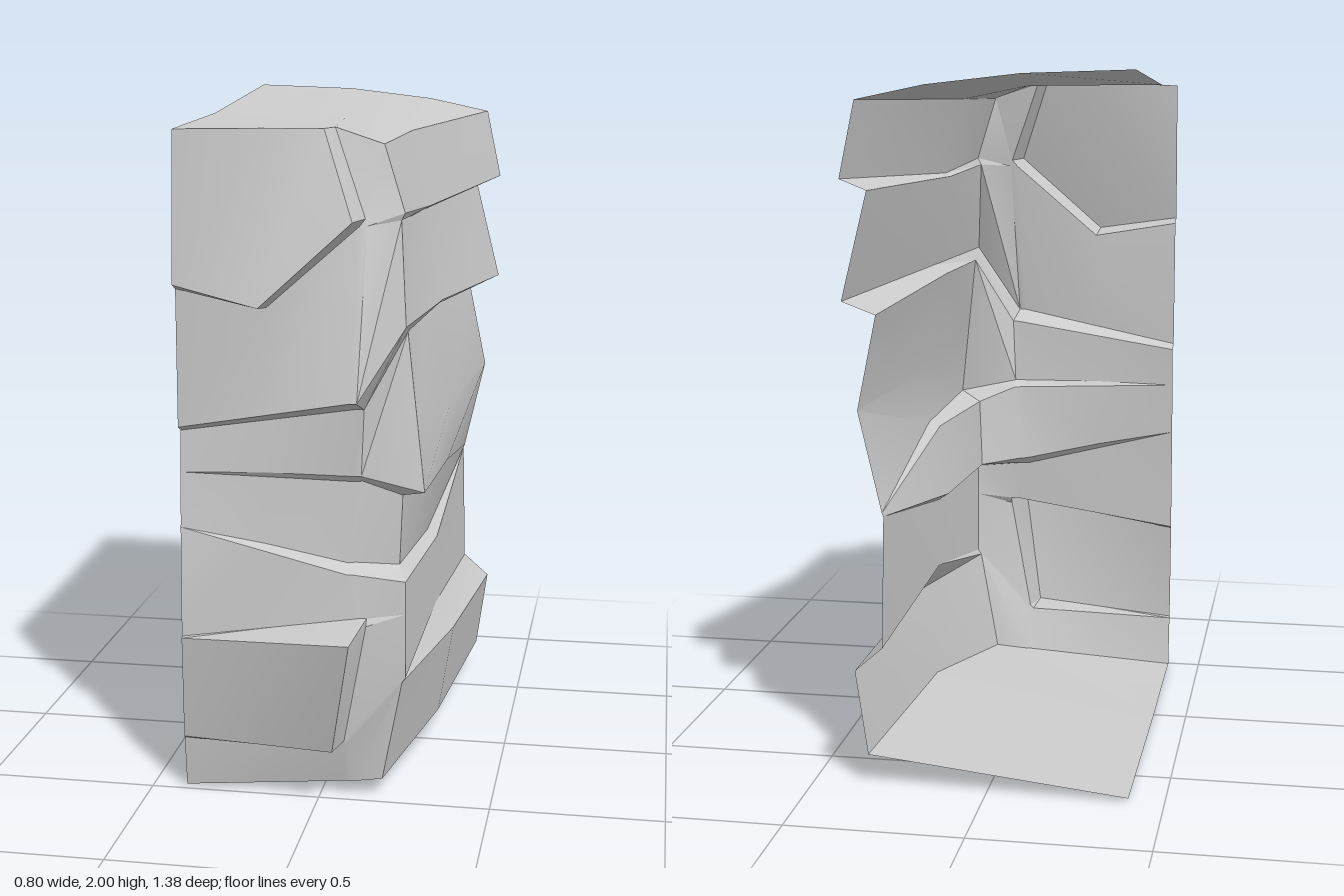
import * as THREE from 'three';
import { toCreasedNormals } from 'three/addons/utils/BufferGeometryUtils.js';

const material = new THREE.MeshStandardMaterial({ color: 0xcccccc, side: THREE.DoubleSide });

const mix = (a, b, t) => a.map((v, i) => v + (b[i] - v) * t);

// Adds n evenly spaced points to a line after index i
const subdivide = (line, i, n) => [
  ...line.slice(0, i + 1),
  ...Array.from({ length: n }, (_, k) => mix(line[i], line[i + 1], (k + 1) / (n + 1))),
  ...line.slice(i + 1),
];

// Joins two lines with triangles: row by row when the counts match,
// otherwise by advancing whichever one lags in x.
function stitch(out, a, b) {
  let i = 0, j = 0;
  const same = a.length === b.length;
  while (i < a.length - 1 || j < b.length - 1) {
    const stepA = j === b.length - 1 || (i < a.length - 1 &&
      (same ? i <= j : a[i + 1][0] <= b[j + 1][0]));
    if (stepA) {
      out.push(...a[i], ...a[i + 1], ...b[j]);
      i++;
    } else {
      out.push(...a[i], ...b[j + 1], ...b[j]);
      j++;
    }
  }
}

// A rock surface lofted through a row of lines
function sheet(name, lines) {
  const pos = [];
  for (let k = 0; k < lines.length - 1; k++) stitch(pos, lines[k], lines[k + 1]);
  const geo = new THREE.BufferGeometry();
  geo.setAttribute('position', new THREE.Float32BufferAttribute(pos, 3));
  const mesh = new THREE.Mesh(toCreasedNormals(geo, 0.42), material);
  mesh.name = name;
  return mesh;
}

export function createModel() {
  const group = new THREE.Group();
  group.name = 'cliffCorner';

  // Front profiles, top to bottom: slab, lip, overhang, ledge, wedge, foot
  const left = [[1.93, 0.508], [1.505, 0.54], [1.49, 0.505], [1.095, 0.505], [1.08, 0.475],
    [0.97, 0.485], [0.96, 0.486], [0.81, 0.495], [0.8, 0.497], [0.475, 0.508],
    [0.47, 0.512], [0.165, 0.503], [0.16, 0.498], [0.005, 0.48]]
    .map(([y, z]) => [-0.4, y, z]);
  const blockEdge = [[0.02, 1.935, 0.495], [0.11, 1.69, 0.57], [0.115, 1.67, 0.48],
    [0.1, 1.19, 0.555], [0.11, 1.16, 0.48], [0.1, 0.965, 0.475], [0.1, 0.945, 0.455],
    [0.08, 0.705, 0.455], [0.08, 0.68, 0.49], [0.12, 0.555, 0.5], [0.12, 0.535, 0.69],
    [0.055, 0.18, 0.59], [0.065, 0.17, 0.5], [0.07, 0.04, 0.46]];

  // Between them the strata run straight, except under the slab's low point
  const slabTip = [[-0.14, 1.935, 0.515], [-0.14, 1.46, 0.63], [-0.14, 1.445, 0.52]];
  const middle = left.map((p, i) => slabTip[i] ?? mix(p, blockEdge[i], 0.5));

  // The blocks drop back to the wall just beyond their edge
  const wallZ = [0.43, 0.47, 0.475, 0.555, 0.485, 0.472, 0.445, 0.445, 0.49, 0.498,
    0.51, 0.5, 0.495, 0.46];
  const wall = blockEdge.map(([x, y], i) => [x + 0.02, y, wallZ[i]]);

  // Rugged edge shared by both walls
  const corner = [[0.175, 1.89, 0.42], [0.23, 1.7, 0.4], [0.22, 1.68, 0.4],
    [0.25, 1.4, 0.51], [0.24, 1.37, 0.4], [0.3, 0.925, 0.47], [0.23, 0.9, 0.41],
    [0.22, 0.69, 0.395], [0.25, 0.665, 0.485], [0.25, 0.375, 0.475],
    [0.24, 0.36, 0.475], [0.18, 0.05, 0.45]];

  // Side profiles: long strata running to the open back
  const sideMiddle = [[0.195, 1.9], [0.25, 1.68], [0.235, 1.67], [0.29, 1.4],
    [0.25, 1.375], [0.315, 1.08], [0.31, 0.91], [0.275, 0.9], [0.25, 0.685], [0.28, 0.665],
    [0.28, 0.455], [0.335, 0.375], [0.29, 0.1]].map(([x, y]) => [x, y, 0]);
  const sideBack = [[0.35, 1.92], [0.395, 1.71], [0.32, 1.68], [0.395, 1.38],
    [0.3, 1.345], [0.355, 1.08], [0.29, 0.795], [0.288, 0.79], [0.286, 0.785], [0.286, 0.78],
    [0.295, 0.405], [0.375, 0.335], [0.34, 0.09]].map(([x, y]) => [x, y, -0.69]);

  const front = [left, middle, blockEdge, wall, subdivide(corner, 8, 2)];
  group.add(sheet('frontWall', front));
  group.add(sheet('sideWall', [subdivide(corner, 4, 1), sideMiddle, sideBack]));

  // Top and bottom sheets follow the wall rims
  const last = (line) => line[line.length - 1];
  group.add(sheet('topSurface', [
    front.map((line) => line[0]),
    [[-0.4, 1.945, 0], [0, 1.94, 0], sideMiddle[0]],
    [[-0.4, 2, -0.69], [-0.1, 1.99, -0.69], [0.16, 1.96, -0.69], sideBack[0]],
  ]));
  group.add(sheet('bottomSurface', [
    front.map(last),
    [[-0.4, 0, 0], last(sideMiddle)],
    [[-0.4, 0.01, -0.69], last(sideBack)],
  ]));
  return group;
}
